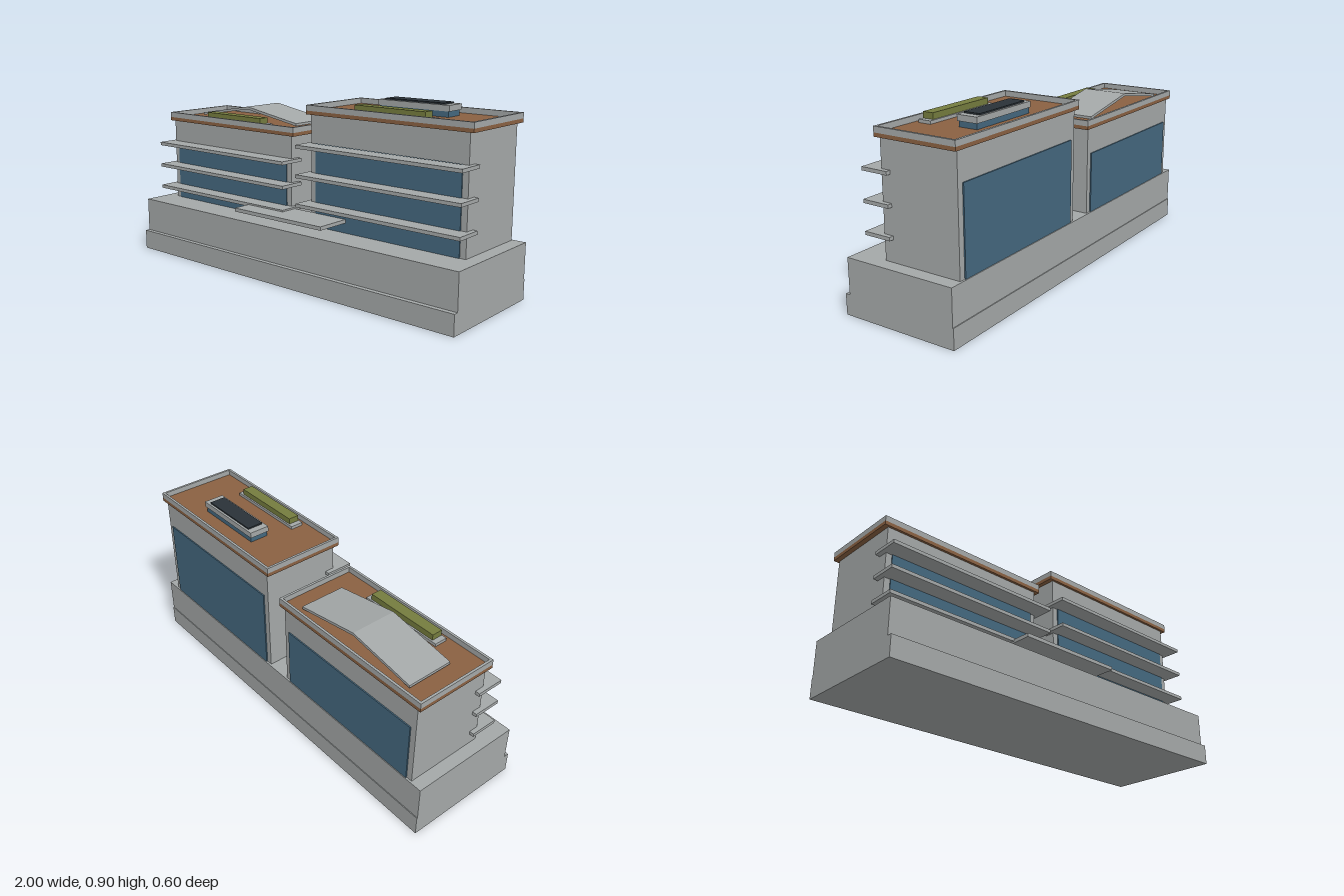
import * as THREE from 'three';

const mat = (name, color) => {
  const m = new THREE.MeshStandardMaterial({ color });
  m.name = name;
  return m;
};

export function createModel() {
  const concrete = mat('concrete grey', 0xa4a8a8);
  const timber = mat('timber brown', 0x8a6142);
  const glass = mat('glass blue', 0x44687f);
  const plants = mat('planting green', 0x757c3e);
  const dark = mat('solar panel dark', 0x2a3238);

  const model = new THREE.Group();
  model.name = 'officeBuilding';

  // Box given by its limits on each axis
  const box = (parent, name, material, [x0, x1], [y0, y1], [z0, z1]) => {
    const mesh = new THREE.Mesh(new THREE.BoxGeometry(x1 - x0, y1 - y0, z1 - z0), material);
    mesh.position.set((x0 + x1) / 2, (y0 + y1) / 2, (z0 + z1) / 2);
    mesh.name = name;
    parent.add(mesh);
    return mesh;
  };

  // Stepped podium
  box(model, 'podiumBase', concrete, [-1, 1], [0, 0.1], [-0.3, 0.3]);
  box(model, 'podiumUpper', concrete, [-1, 1], [0.1, 0.275], [-0.296, 0.276]);

  // Entrance canopy
  box(model, 'entranceCanopy', concrete, [-0.28, 0.28], [0.324, 0.342], [0.115, 0.3]);

  // One wing: body, glazing, sunshades, roof with parapet, planter
  const wing = (name, cx, roofY, glassTop, shades) => {
    const g = new THREE.Group();
    g.name = name;
    model.add(g);
    const span = (half) => [cx - half, cx + half];

    box(g, 'body', concrete, span(0.435), [0.275, roofY], [-0.286, 0.114]);
    box(g, 'frontGlazing', glass, span(0.405), [0.275, glassTop], [0.112, 0.119]);
    box(g, 'backGlazing', glass, span(0.405), [0.275, glassTop], [-0.292, -0.284]);
    for (const y of shades) box(g, 'sunshade', concrete, span(0.458), [y, y + 0.017], [0.066, 0.205]);

    // Roof slab and hollow parapet
    const deck = roofY + 0.018, top = roofY + 0.045, t = 0.012;
    const zs = [-0.298, 0.126];
    box(g, 'roofSlab', timber, span(0.458), [roofY, deck], zs);
    box(g, 'parapetFront', concrete, span(0.458), [deck, top], [zs[1] - t, zs[1]]);
    box(g, 'parapetBack', concrete, span(0.458), [deck, top], [zs[0], zs[0] + t]);
    for (const s of [-1, 1]) {
      const xs = [cx + s * 0.458, cx + s * (0.458 - t)].sort((a, b) => a - b);
      box(g, 'parapetSide', concrete, xs, [deck, top], [zs[0] + t, zs[1] - t]);
    }

    // Planter
    box(g, 'planterBox', concrete, span(0.222), [deck, deck + 0.015], [0.025, 0.091]);
    box(g, 'planterHedge', plants, span(0.195), [deck + 0.015, deck + 0.044], [0.033, 0.088]);
    return { g, span, deck };
  };

  const low = wing('lowWing', -0.502, 0.703, 0.576, [0.333, 0.453, 0.573]);
  const high = wing('highWing', 0.498, 0.82, 0.683, [0.379, 0.522, 0.665]);

  // Folded canopy roof on the low wing
  const fold = new THREE.Shape([
    [-0.347, 0.729], [0, 0.787], [0.347, 0.729], [0.347, 0.742], [0, 0.801], [-0.347, 0.742],
  ].map(([x, y]) => new THREE.Vector2(x, y)));
  const gable = new THREE.Mesh(
    new THREE.ExtrudeGeometry(fold, { depth: 0.235, bevelEnabled: false }), concrete);
  gable.position.set(-0.502, 0, -0.252);
  gable.name = 'foldedRoof';
  low.g.add(gable);

  // Skylight with solar panel on the high wing
  box(high.g, 'skylightGlass', glass, high.span(0.19), [high.deck, 0.865], [-0.197, -0.103]);
  box(high.g, 'skylightCap', concrete, high.span(0.197), [0.865, 0.893], [-0.202, -0.098]);
  box(high.g, 'solarPanel', dark, high.span(0.162), [0.893, 0.9], [-0.191, -0.109]);

  return model;
}
